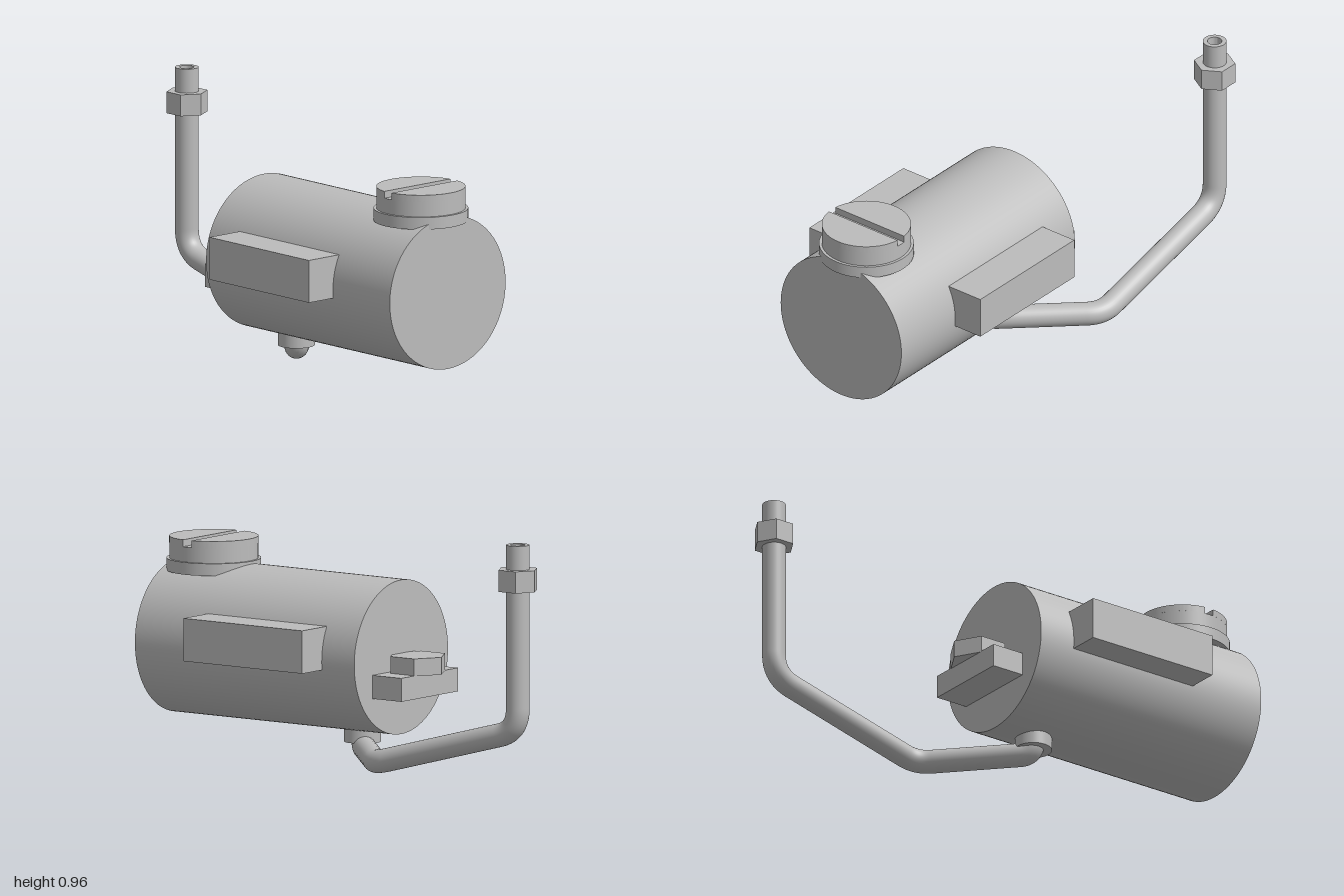
import * as THREE from 'three';
import { toCreasedNormals } from 'three/addons/utils/BufferGeometryUtils.js';

export function createModel() {
  const model = new THREE.Group();
  model.name = 'fluidReservoir';
  const metal = new THREE.MeshStandardMaterial({ color: 0xbcbcbc });
  metal.name = 'grey metal';

  const add = (name, geometry, x = 0, y = 0, z = 0) => {
    const mesh = new THREE.Mesh(geometry, metal);
    mesh.name = name;
    mesh.position.set(x, y, z);
    model.add(mesh);
    return mesh;
  };
  // upright cylinder between two heights
  const post = (name, r, y0, y1, x, z) =>
    add(name, new THREE.CylinderGeometry(r, r, y1 - y0, 64), x, (y0 + y1) / 2, z);
  // upright hexagon with corners pointing along x
  const hexNut = (name, r, y0, y1, x, z) => {
    const g = new THREE.CylinderGeometry(r, r, y1 - y0, 6).rotateY(Math.PI / 6).toNonIndexed();
    g.computeVertexNormals();
    return add(name, g, x, (y0 + y1) / 2, z);
  };

  // main cylinder lying along x
  add('body', new THREE.CylinderGeometry(0.302, 0.302, 1.065, 96).rotateZ(Math.PI / 2), 0.433, 0.413, 0);

  // side mounting blocks
  for (const side of [1, -1]) {
    add(side > 0 ? 'frontBlock' : 'backBlock', new THREE.BoxGeometry(0.577, 0.168, 0.187), 0.347, 0.466, side * 0.334);
  }

  // filler cap with a slot across its top
  const capX = 0.81, capR = 0.173, slotHalf = 0.02;
  post('capFlange', 0.184, 0.678, 0.726, capX, 0);
  post('capBase', capR, 0.7, 0.785, capX, 0);
  const a = Math.acos(slotHalf / capR);
  const segment = new THREE.Shape();
  segment.absarc(0, 0, capR, -a, a, false);
  segment.closePath();
  for (const turn of [0, Math.PI]) {
    const g = new THREE.ExtrudeGeometry(segment, { depth: 0.027, bevelEnabled: false, curveSegments: 36 });
    g.rotateX(-Math.PI / 2).rotateY(turn);
    add('capTop', toCreasedNormals(g, 0.6), capX, 0.785, 0);
  }

  // end bracket and its bolt head
  add('endBracket', new THREE.BoxGeometry(0.18, 0.092, 0.367), -0.15, 0.316, -0.002);
  hexNut('boltHead', 0.115, 0.36, 0.428, -0.18, 0);

  // outlet under the body
  post('outletBoss', 0.072, 0.067, 0.2, 0.088, 0);

  // bent pipe: straight runs joined by rounded corners
  const pipeR = 0.046, px = -0.918, pz = -0.334, topY = 0.96;
  const v = (x, y, z) => new THREE.Vector3(x, y, z);
  const corners = [v(0.085, 0.13, 0), v(0.085, 0.049, 0), v(-0.23, 0.049, pz), v(px, 0.23, pz), v(px, topY, pz)];
  const tangents = [0, 0.05, 0.06, 0.09, 0];
  const path = new THREE.CurvePath();
  let from = corners[0];
  for (let i = 1; i < corners.length - 1; i++) {
    const c = corners[i];
    const toward = (p) => c.clone().addScaledVector(p.clone().sub(c).normalize(), tangents[i]);
    const start = toward(corners[i - 1]), end = toward(corners[i + 1]);
    path.add(new THREE.LineCurve3(from, start));
    path.add(new THREE.QuadraticBezierCurve3(start, c, end));
    from = end;
  }
  path.add(new THREE.LineCurve3(from, corners[4]));
  add('pipe', new THREE.TubeGeometry(path, 240, pipeR, 32, false));

  // pipe mouth: rim and bore
  const mouth = [[pipeR, topY], [0.028, topY], [0.028, 0.7], [0, 0.7]].map(([r, y]) => new THREE.Vector2(r, y));
  add('pipeMouth', toCreasedNormals(new THREE.LatheGeometry(mouth, 32), 0.6), px, 0, pz);
  // nut ring around the pipe
  hexNut('pipeNut', 0.081, 0.78, 0.865, px, pz);
  // remove the nut's cover over the bore by keeping the bore above it
  mouth[2].y = mouth[3].y = 0.87;
  const bore = model.getObjectByName('pipeMouth');
  bore.geometry = toCreasedNormals(new THREE.LatheGeometry(mouth, 32), 0.6);

  return model;
}
